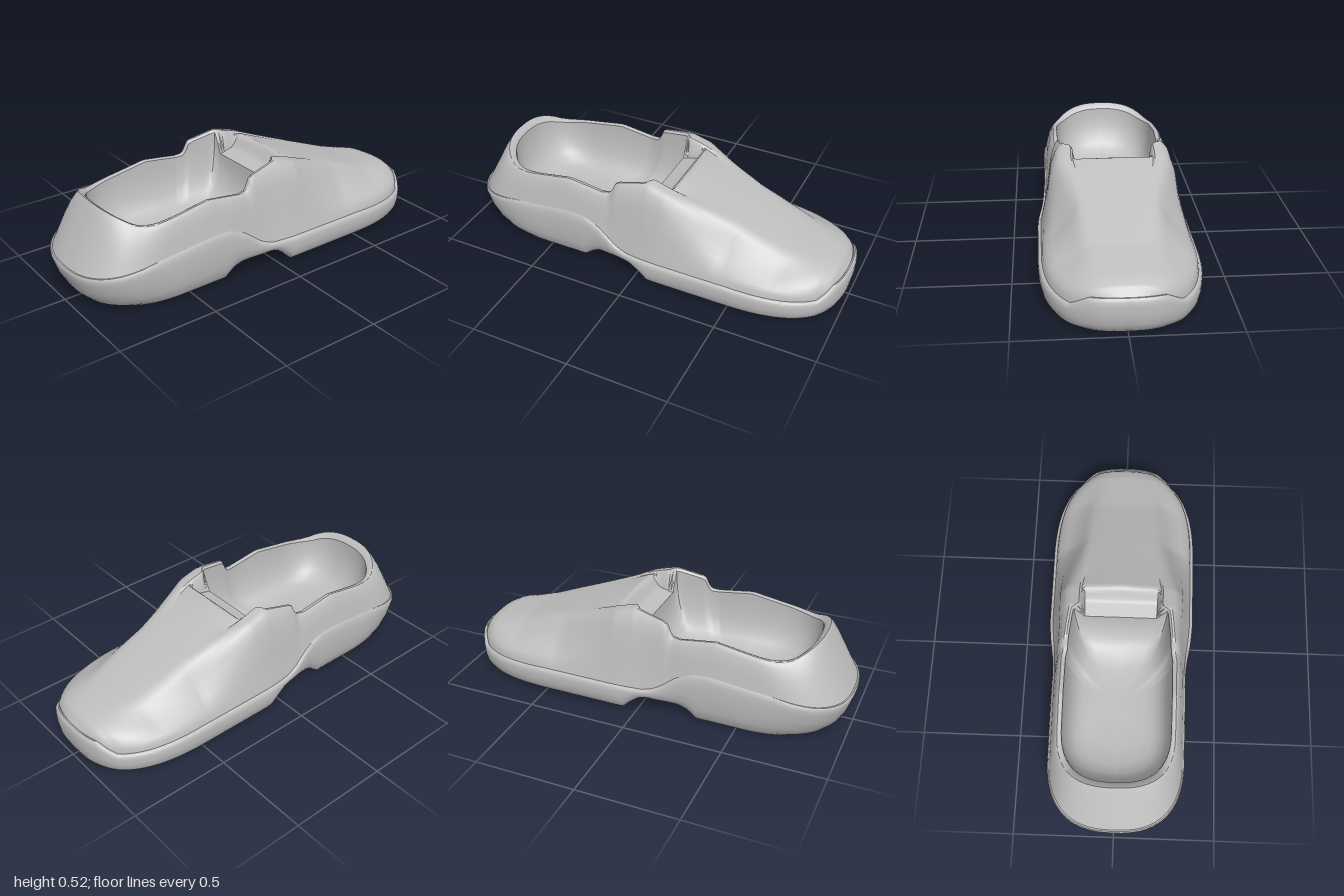
import * as THREE from 'three';
import { toCreasedNormals } from 'three/addons/utils/BufferGeometryUtils.js';

const lerp = THREE.MathUtils.lerp, smooth = THREE.MathUtils.smoothstep;

// piecewise interpolation through [x, value] pairs
function at(table, x) {
  if (x <= table[0][0]) return table[0][1];
  for (let i = 1; i < table.length; i++) {
    const [a, u] = table[i - 1], [b, v] = table[i];
    if (x <= b) return lerp(u, v, (x - a) / (b - a));
  }
  return table[table.length - 1][1];
}

// half width of the footprint: two superelliptic ends and a slightly flared middle
function width(x) {
  const [u, n] = x < -0.65 ? [(-0.65 - x) / 0.35, 2.5] : x > 0.45 ? [(x - 0.45) / 0.55, 2.6] : [0, 2];
  return lerp(0.337, 0.377, smooth(x, -0.25, 0.12)) * Math.pow(Math.max(0, 1 - Math.pow(u, n)), 1 / n);
}

// profiles along the shoe
const topLine = [[-0.84, 0.463], [-0.79, 0.432], [-0.74, 0.404], [-0.7, 0.396], [-0.65, 0.398], [-0.55, 0.412],
  [-0.38, 0.44], [-0.2, 0.415], [-0.16, 0.42], [-0.145, 0.44], [-0.125, 0.485], [0.04, 0.52], [0.15, 0.487],
  [0.7, 0.285], [0.9, 0.235], [0.95, 0.212], [0.97, 0.185], [1, 0.15]];
const soleTop = [[-1, 0.183], [-0.9, 0.202], [-0.7, 0.24], [-0.45, 0.268], [-0.35, 0.275], [-0.28, 0.268],
  [-0.2, 0.23], [-0.12, 0.165], [-0.08, 0.145], [-0.04, 0.135], [0.5, 0.135], [0.8, 0.122], [0.915, 0.118],
  [0.945, 0.142], [0.975, 0.173], [1, 0.176]];
const soleBottom = [[-0.3, 0], [-0.25, 0.04], [-0.21, 0.056], [-0.05, 0.079], [-0.02, 0.074], [0.02, 0.045], [0.07, 0]];
const ledge = [[0.02, 0.4], [0.1, 0.42], [0.13, 0.465], [0.16, 0.485]];

// half cross-sections as [share of width, share of height], from the sole edge upwards
const collarSec = [[1, 0], [0.985, 0.15], [0.97, 0.35], [0.95, 0.55], [0.93, 0.72], [0.905, 0.86], [0.885, 0.95],
  [0.86, 1], [0.83, 1], [0.8, 0.97], [0.5, 0.9], [0, 0.9]];
const hornSec = [[1, 0], [0.95, 0.22], [0.9, 0.45], [0.85, 0.74], [0.82, 0.82], [0.785, 0.91], [0.74, 0.97],
  [0.71, 1], [0.68, 1], [0.65, 0.97], [0.5, 0.9], [0, 0.9]];
const notchSec = [[1, 0], [0.95, 0.22], [0.9, 0.45], [0.85, 0.74], [0.82, 0.82], [0.785, 0.91], [0.73, 0.975],
  [0.66, 0.995], [0.57, 1], [0.545, 0.97], [0.5, 0.99], [0, 1]];
const instepSec = [[1, 0], [0.98, 0.12], [0.93, 0.25], [0.84, 0.37], [0.75, 0.51], [0.67, 0.66], [0.6, 0.8],
  [0.54, 0.92], [0.49, 0.975], [0.42, 0.99], [0.25, 1], [0, 1]];
const ridgeEndSec = [[1, 0], [0.985, 0.18], [0.95, 0.32], [0.87, 0.43], [0.78, 0.53], [0.69, 0.63], [0.61, 0.74],
  [0.54, 0.85], [0.47, 0.935], [0.4, 0.97], [0.25, 0.99], [0, 1]];
const toeSec = [[1, 0], [0.99, 0.2], [0.95, 0.38], [0.89, 0.53], [0.82, 0.66], [0.73, 0.77], [0.62, 0.86],
  [0.5, 0.92], [0.38, 0.96], [0.25, 0.985], [0.12, 1], [0, 1]];
const sections = [[-0.22, collarSec], [0.02, hornSec], [0.05, notchSec], [0.14, notchSec],
  [0.45, instepSec], [0.72, ridgeEndSec], [0.9, toeSec]];

// stations from heel to toe, closer together around the ends and steps
const stations = [];
const seg = (a, b, n, ease = t => t) => { for (let i = 0; i < n; i++) stations.push(lerp(a, b, ease(i / n))); };
seg(-1, -0.65, 24, t => 1 - Math.cos(t * Math.PI / 2));
seg(-0.65, -0.3, 12);
seg(-0.3, -0.13, 16);
seg(-0.13, 0.02, 8);
seg(0.02, 0.07, 4);
seg(0.07, 0.17, 8);
seg(0.17, 0.45, 10);
seg(0.45, 1, 36, t => Math.sin(t * Math.PI / 2));
stations.push(1);
const HEEL = stations.indexOf(-0.3), OPEN = stations.indexOf(0.02), FORE = stations.indexOf(0.07);

// footprint point moved inwards along its normal
function inset(i, d) {
  const x = stations[i], z = width(x), last = stations.length - 1;
  if (i === 0) return [x + d, 0];
  if (i === last) return [x - d, 0];
  const a = stations[i - 1], b = stations[i + 1];
  const dx = b - a, dz = width(b) - width(a), l = Math.hypot(dx, dz);
  return [x + dz / l * d, Math.max(0, z - dx / l * d)];
}

// surface through rows of points, mirrored to both sides
function mirroredSurface(patches, crease) {
  const pos = [];
  for (const rows of patches) for (const side of [1, -1]) {
    const put = (...ps) => (side > 0 ? ps : ps.reverse()).forEach(p => pos.push(p[0], p[1], p[2] * side));
    for (let i = 0; i + 1 < rows.length; i++) for (let j = 0; j + 1 < rows[i].length; j++) {
      const a = rows[i][j], b = rows[i + 1][j], c = rows[i + 1][j + 1], d = rows[i][j + 1];
      put(a, b, c);
      put(a, c, d);
    }
  }
  const g = new THREE.BufferGeometry();
  g.setAttribute('position', new THREE.Float32BufferAttribute(pos, 3));
  return toCreasedNormals(g, crease);
}

// one half section of the upper
function upperRow(i) {
  const [x, w] = inset(i, lerp(0.011, 0.017, smooth(stations[i], -0.2, 0.1)));
  let k = 0;
  while (k < sections.length - 2 && x > sections[k + 1][0]) k++;
  const t = THREE.MathUtils.clamp((x - sections[k][0]) / (sections[k + 1][0] - sections[k][0]), 0, 1);
  const base = Math.min(at(soleTop, x), x > 0.5 ? 0.135 : 1) - 0.004;
  return sections[k][1].map(([za, ya], j) => {
    const [zb, yb] = sections[k + 1][1][j], rise = lerp(ya, yb, t);
    // the heel leans straight forward towards the collar
    const lean = 1 - 0.178 * rise - (j === 8 ? 0.02 : j === 9 ? 0.042 : 0);
    const px = x < -0.13 ? -0.13 + (x + 0.13) * lean : x;
    let y = lerp(base, at(topLine, px), rise);
    if (j > 9 && x < 0.17) y = lerp(at(ledge, x), y, smooth(x, 0.12, 0.17));
    return [px, y, lerp(za, zb, t) * w];
  });
}

// one half section of the sole wall: [height share, inset, inset at the heel]
const soleProfile = [[0, 0.055, 0.135], [0.03, 0.036, 0.105], [0.12, 0.02, 0.075], [0.3, 0.007, 0.043],
  [0.55, 0.001, 0.019], [0.78, 0, 0.006], [0.9, 0.002, 0], [0.97, 0.007, 0.001], [1, 0.013, 0.005],
  [1, 0.019, 0.013], [0.9, 0.026, 0.02]];
function soleRow(i) {
  const x = stations[i], heelness = 1 - smooth(x, -0.97, -0.55);
  return soleProfile.map(([t, d, dHeel]) => {
    const [px, pz] = inset(i, lerp(d, dHeel, heelness));
    return [px, lerp(at(soleBottom, x), at(soleTop, x), t), pz];
  });
}

// flat tread pad with triangular pits
function treadPad(edge, min, max) {
  const half = edge.map(p => [p[0], p[2]]);
  const outline = [...half, ...half.slice().reverse().map(p => [p[0], -p[1]])]
    .filter((p, i, l) => i === 0 || Math.hypot(p[0] - l[i - 1][0], p[1] - l[i - 1][1]) > 1e-4);
  const shape = new THREE.Shape(outline.map(p => new THREE.Vector2(...p)));
  const inside = ([x, z]) => x > min && x < max && Math.abs(z) + 0.01 < at(half, x)
    && half.every(p => Math.hypot(p[0] - x, p[1] - Math.abs(z)) > 0.012);
  const side = 0.13, rise = side * Math.sqrt(3) / 2, pits = [];
  for (let r = -4; r < 4; r++) for (let c = -9; c < 9; c++) for (const up of [true, false]) {
    const node = (a, b) => [(a + (Math.abs(b) % 2) / 2) * side, b * rise];
    const odd = Math.abs(r) % 2;
    const tri = up ? [node(c, r), node(c + 1, r), node(c + odd, r + 1)]
      : [node(c + 1, r), node(c + 1 + odd, r + 1), node(c + odd, r + 1)];
    const m = [0, 1].map(q => (tri[0][q] + tri[1][q] + tri[2][q]) / 3);
    const p = tri.map(v => [lerp(m[0], v[0], 0.86), lerp(m[1], v[1], 0.86)]);
    if (!p.every(inside)) continue;
    shape.holes.push(new THREE.Path(p.map(v => new THREE.Vector2(...v))));
    for (let q = 0; q < 3; q++) pits.push(...p[q], 0, ...p[(q + 1) % 3], 0, ...m, -0.035);
  }
  const pitGeo = new THREE.BufferGeometry();
  pitGeo.setAttribute('position', new THREE.Float32BufferAttribute(pits, 3));
  pitGeo.computeVertexNormals();
  return [new THREE.ShapeGeometry(shape), pitGeo].map(g => g.rotateX(Math.PI / 2));
}

export function createModel() {
  const group = new THREE.Group();
  const grey = new THREE.MeshStandardMaterial({ color: 0xbebebe, side: THREE.DoubleSide });
  grey.name = 'light grey';
  const add = (name, geometry) => {
    const mesh = new THREE.Mesh(geometry, grey);
    mesh.name = name;
    group.add(mesh);
  };

  // sole wall and raised arch
  const sole = stations.map((_, i) => soleRow(i));
  const arch = sole.slice(HEEL, FORE + 1).map(r => [[r[0][0], r[0][1], 0], r[0]]);
  add('sole', mirroredSurface([sole, arch], 0.7));

  // tread under heel and forefoot
  const heel = treadPad(sole.slice(0, HEEL + 1).map(r => r[0]), -0.86, -0.31);
  const fore = treadPad(sole.slice(FORE).map(r => r[0]), 0.08, 0.94);
  ['heel', 'forefoot'].forEach((n, i) => {
    add(n + 'Tread', [heel, fore][i][0]);
    add(n + 'TreadPits', [heel, fore][i][1]);
  });

  // upper: open collar behind, closed instep and toe in front
  const upper = stations.map((_, i) => upperRow(i));
  const collar = upper.slice(0, OPEN + 1).map(r => r.slice(0, 10));
  add('upper', mirroredSurface([collar, upper.slice(OPEN)], 0.7));

  // lining: a smooth bowl from the collar down to the footbed
  const rim = [...collar.map(r => r[9]), upper[OPEN][10], upper[OPEN][11]];
  const levels = [[0, 1], [0.15, 0.995], [0.35, 0.975], [0.55, 0.935], [0.72, 0.875], [0.85, 0.79], [0.93, 0.68],
    [0.98, 0.5], [1, 0.25], [1, 0]];
  const lining = rim.map(([x, y, z]) => levels.map(([f, s]) => [
    -0.38 + (x + 0.38) * Math.max(s, 0.25), lerp(y, 0.16, f), z * s]));
  add('lining', mirroredSurface([lining], 0.9));

  return group;
}
